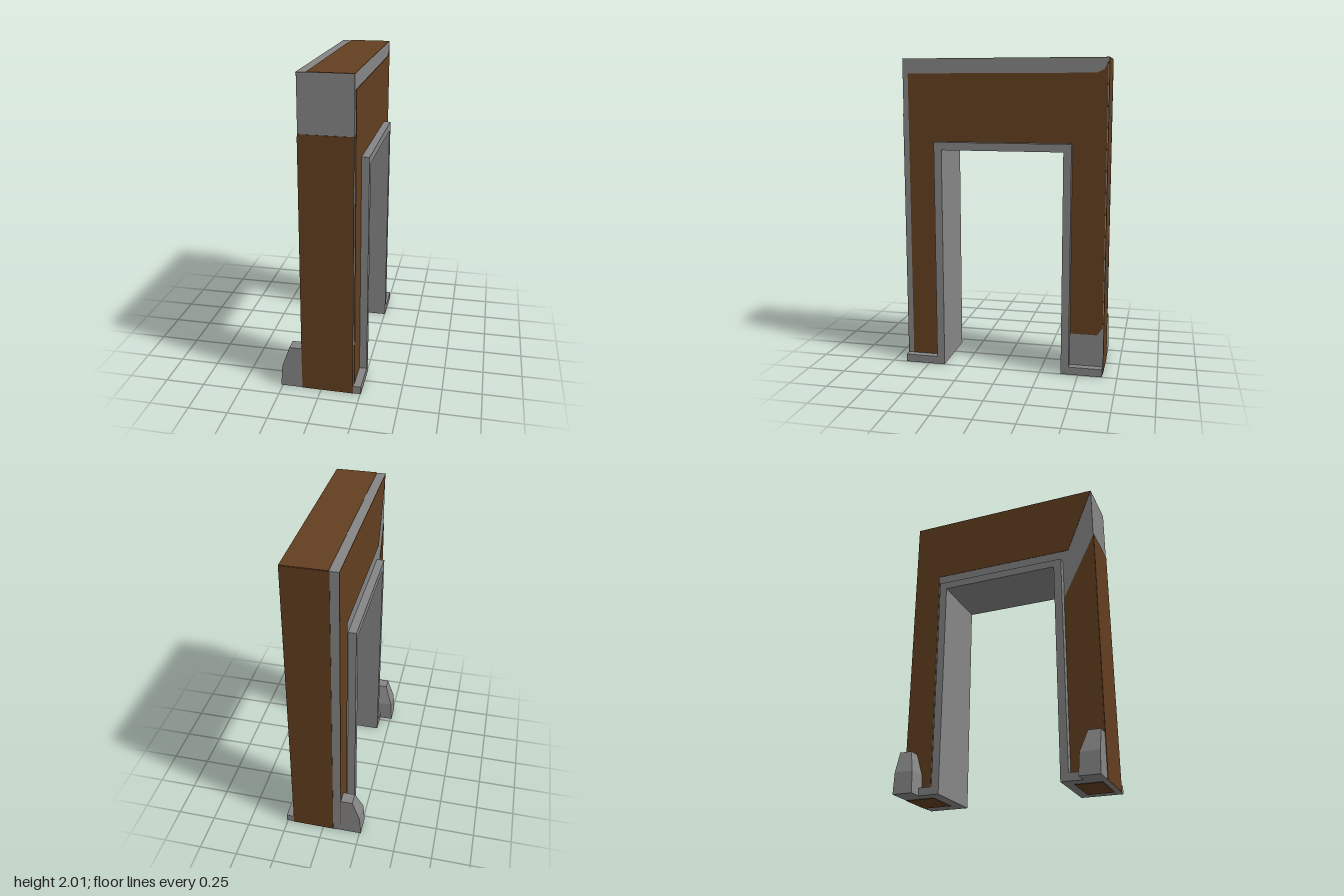
import * as THREE from 'three';
import { ConvexGeometry } from 'three/addons/geometries/ConvexGeometry.js';

export function createModel() {
  const group = new THREE.Group();
  const stone = new THREE.MeshStandardMaterial({ color: 0x868686 });
  stone.name = 'grey stone';
  const wood = new THREE.MeshStandardMaterial({ color: 0x633f20 });
  wood.name = 'brown panel';

  const L = -0.12, R = 0.205, D = 0.655, T = 0.003;

  const add = (name, geometry, material) => {
    const mesh = new THREE.Mesh(geometry, material);
    mesh.name = name;
    group.add(mesh);
  };
  // outline in (z, y), extruded between two x positions
  const slab = (name, points, x0, x1, material) => {
    const shape = new THREE.Shape(points.map(([z, y]) => new THREE.Vector2(z, y)));
    const g = new THREE.ExtrudeGeometry(shape, { depth: x1 - x0, bevelEnabled: false });
    g.rotateY(-Math.PI / 2).translate(x1, 0, 0);
    add(name, g, material);
  };
  const box = (name, x0, x1, y0, y1, z0, z1, material) => {
    const g = new THREE.BoxGeometry(x1 - x0, y1 - y0, z1 - z0);
    g.translate((x0 + x1) / 2, (y0 + y1) / 2, (z0 + z1) / 2);
    add(name, g, material);
  };

  // Arch body
  slab('archBody', [
    [D, 0], [D, 2], [-D, 2], [-D, 0], [-0.39, 0], [-0.39, 1.43], [0.39, 1.43], [0.39, 0],
  ], L, R, stone);

  // Raised door trim with feet on both sides
  const trim = [
    [D, 0], [D, 0.05], [0.44, 0.05], [0.44, 1.48], [-0.44, 1.48], [-0.44, 0.05],
    [-D, 0.05], [-D, 0], [-0.39, 0], [-0.39, 1.43], [0.39, 1.43], [0.39, 0],
  ];
  slab('leftTrim', trim, R, 0.255, stone);
  slab('rightTrim', trim, -0.17, L, stone);

  // Tapered buttresses at the feet: [y, outer x, inner z]
  for (const s of [1, -1]) {
    const points = [];
    for (const [y, x, z] of [[0, -0.26, 0.525], [0.14, -0.25, 0.533], [0.28, -0.2, 0.575]]) {
      for (const px of [x, L]) {
        for (const pz of [z, D]) points.push(new THREE.Vector3(px, y, s * pz));
      }
    }
    add(s > 0 ? 'frontButtress' : 'backButtress', new ConvexGeometry(points), stone);
  }

  // Brown panels on the end faces, top and undersides
  box('frontPanel', L, R, 0, 1.655, D, D + T, wood);
  box('backPanel', -0.07, R, 0, 2, -D - T, -D, wood);
  box('topPanel', -0.065, R, 2, 2 + T, -D, D, wood);
  box('frontFootPanel', -0.09, 0.18, -T, 0, 0.45, 0.62, wood);
  box('backFootPanel', -0.09, 0.15, -T, 0, -D, -0.46, wood);

  // Brown panel on the left side
  slab('leftPanel', [
    [0.62, 0.05], [0.62, 1.91], [-0.58, 1.91], [-0.625, 1.93], [-0.65, 1.98], [-0.65, 0.31],
    [-0.615, 0.26], [-0.435, 0.26], [-0.435, 1.48], [0.44, 1.48], [0.44, 0.05],
  ], R, R + T, wood);

  // Brown panels on the right side, split by a diagonal grey band
  slab('rightUpperPanel', [
    [-D, 0.05], [-D, 2], [D, 2], [0.478, 1.565], [-0.47, 1.565], [-0.47, 0.05],
  ], L - T, L, wood);
  slab('rightLegPanel', [
    [D, 0.05], [D, 1.64], [0.52, 1.37], [0.44, 1.21], [0.44, 0.05],
  ], L - T, L, wood);

  return group;
}
